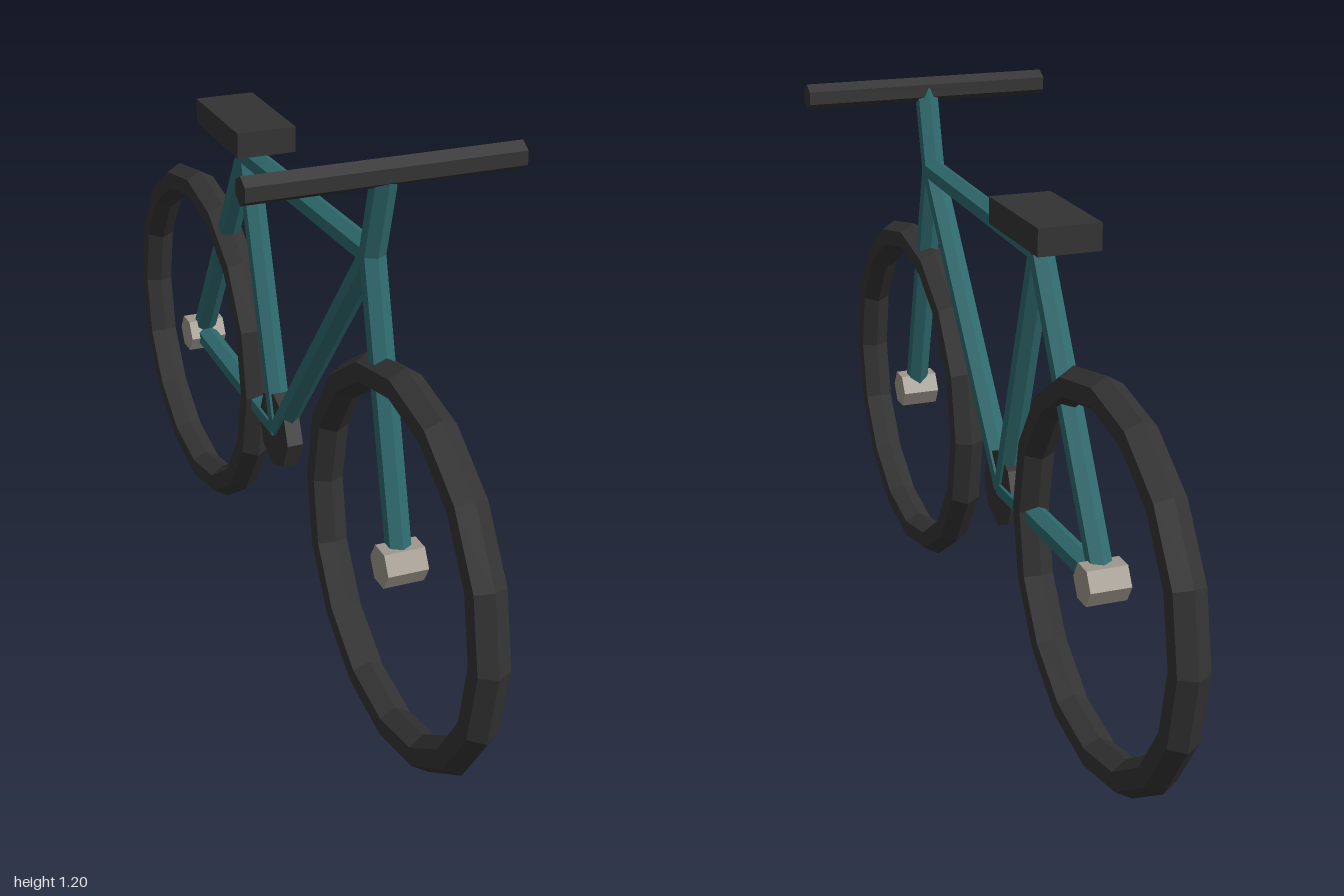
import * as THREE from 'three';

export function createModel() {
  const mat = (name, color) => {
    const m = new THREE.MeshStandardMaterial({ color, flatShading: true });
    m.name = name;
    return m;
  };
  const teal = mat('teal paint', 0x2f6b6f);
  const dark = mat('dark rubber', 0x333333);
  const metal = mat('grey metal', 0x9e978c);

  const bike = new THREE.Group();
  bike.name = 'bicycle';

  const add = (name, geometry, material, y, z) => {
    const mesh = new THREE.Mesh(geometry, material);
    mesh.name = name;
    mesh.position.set(0, y, z);
    bike.add(mesh);
    return mesh;
  };

  // Cylinder lying across the bike, turned about its own axis by spin
  const across = (name, radius, length, sides, material, [y, z], spin = 0) =>
    add(name, new THREE.CylinderGeometry(radius, radius, length, sides)
      .rotateY(spin).rotateZ(Math.PI / 2), material, y, z);

  // Six-sided tube between two [y, z] joints in the middle plane
  const tube = (name, a, b, radius = 0.026, material = teal) => {
    const dy = b[0] - a[0], dz = b[1] - a[1];
    const mesh = add(name, new THREE.CylinderGeometry(radius, radius, Math.hypot(dy, dz), 6),
      material, (a[0] + b[0]) / 2, (a[1] + b[1]) / 2);
    mesh.rotation.x = Math.atan2(dz, dy);
  };

  // Joints as [y, z]
  const frontAxle = [0.42, 0.583], rearAxle = [0.42, -0.583];
  const crank = [0.404, -0.052], seatTop = [0.985, -0.249];
  const head = [1.003, 0.425], bar = [1.18, 0.473];

  // Wheels and hubs
  for (const [side, axle] of [['front', frontAxle], ['rear', rearAxle]]) {
    add(side + 'Tyre', new THREE.TorusGeometry(0.379, 0.038, 6, 16).rotateY(Math.PI / 2), dark, ...axle);
    across(side + 'Hub', 0.043, 0.086, 6, metal, axle);
  }

  // Frame
  tube('topTube', head, seatTop);
  tube('downTube', head, crank);
  tube('seatTube', crank, seatTop);
  tube('chainStay', crank, rearAxle);
  tube('seatStay', seatTop, rearAxle);
  tube('fork', frontAxle, head);
  tube('stem', head, bar);

  // Crank disc, handlebar and saddle
  across('crankDisc', 0.088, 0.036, 8, dark, crank);
  across('handlebar', 0.028, 0.557, 6, dark, bar, Math.PI / 6);
  tube('seatPost', seatTop, [1.045, -0.267], 0.026, dark);
  add('saddle', new THREE.BoxGeometry(0.132, 0.056, 0.267), dark, 1.047, -0.265);

  return bike;
}
